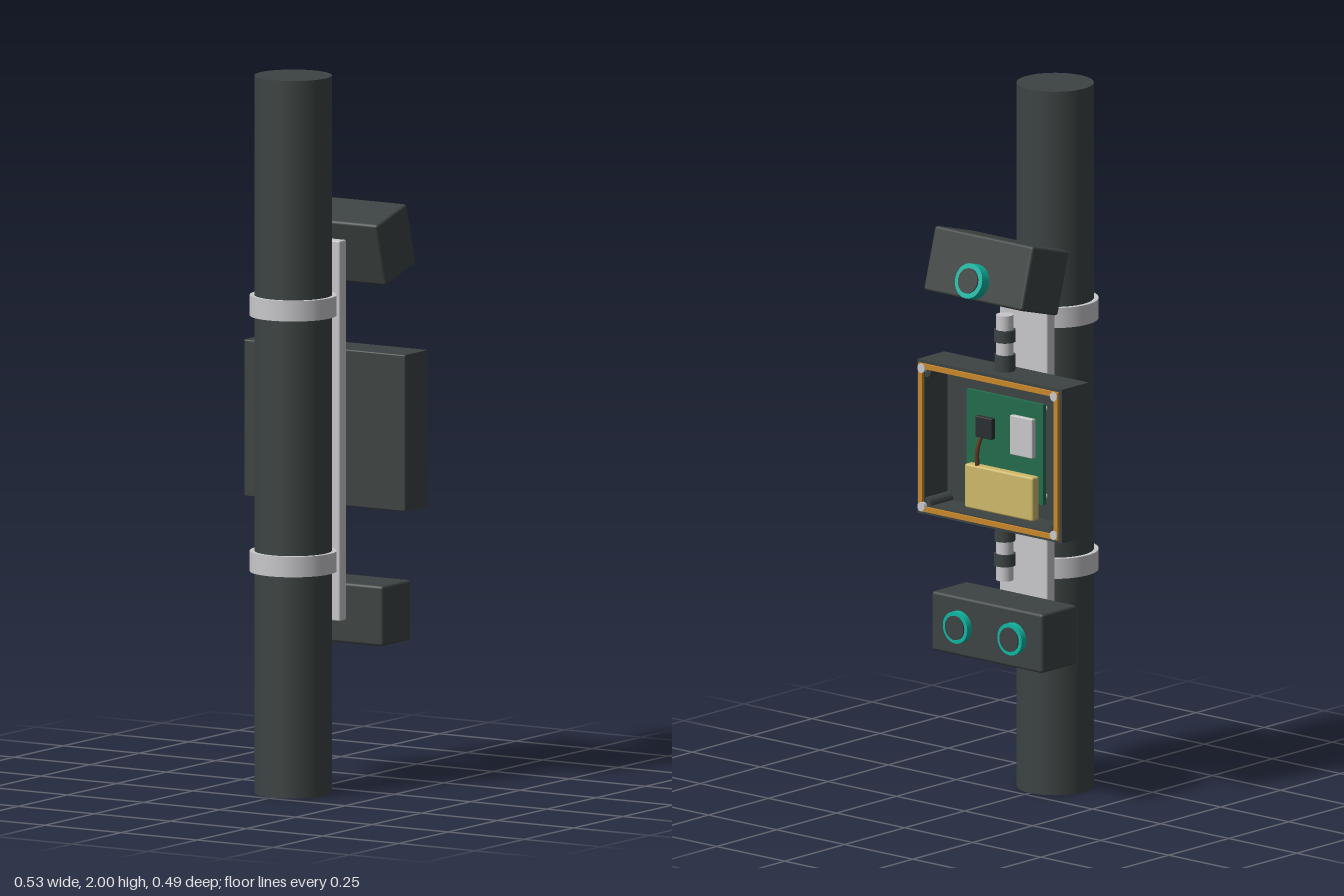
import * as THREE from 'three';
import { RoundedBoxGeometry } from 'three/addons/geometries/RoundedBoxGeometry.js';

export function createModel() {
  const mat = (name, color) => {
    const m = new THREE.MeshStandardMaterial({ color });
    m.name = name;
    return m;
  };
  const dark = mat('charcoal', 0x3c4342);
  const metal = mat('light metal', 0xc8c7ca);
  const teal = mat('teal', 0x10b5a2);
  const amber = mat('amber seal', 0xc8862a);
  const green = mat('board green', 0x236b4b);
  const tan = mat('battery tan', 0xcdb96a);
  const black = mat('chip black', 0x2b2e30);
  const brown = mat('cable brown', 0x5a3a20);

  const model = new THREE.Group();
  const add = (parent, name, geo, material, x = 0, y = 0, z = 0) => {
    const mesh = new THREE.Mesh(geo, material);
    mesh.name = name;
    mesh.position.set(x, y, z);
    parent.add(mesh);
    return mesh;
  };
  const group = (name, x, y, z) => {
    const g = new THREE.Group();
    g.name = name;
    g.position.set(x, y, z);
    model.add(g);
    return g;
  };
  const box = (w, h, d, r = 0.006) => new RoundedBoxGeometry(w, h, d, 2, r);
  const cyl = (r, h, n = 32, r2 = r) => new THREE.CylinderGeometry(r, r2, h, n);
  const cylZ = (r, d, n = 32) => cyl(r, d, n).rotateX(Math.PI / 2);

  // Rectangular frame, extruded along z from 0 to depth
  const frame = (w, h, t, depth) => {
    const rect = (p, a, b) => {
      p.moveTo(-a, -b);
      p.lineTo(a, -b);
      p.lineTo(a, b);
      p.lineTo(-a, b);
      p.closePath();
      return p;
    };
    const s = rect(new THREE.Shape(), w / 2, h / 2);
    s.holes.push(rect(new THREE.Path(), w / 2 - t, h / 2 - t));
    return new THREE.ExtrudeGeometry(s, { depth, bevelEnabled: false });
  };

  // Pole, clamp bands and mounting plate
  add(model, 'pole', cyl(0.107, 2, 64), dark, 0, 1, 0.128);
  for (const y of [0.647, 1.36]) add(model, 'clampBand', cyl(0.12, 0.057, 64), metal, 0, y, 0.128);
  add(model, 'mountingPlate', box(0.176, 1.06, 0.034, 0.004), metal, 0, 1.002, 0.0115);

  // Round lens facing -z: teal ring with dark glass
  const lens = (parent, x, y, z, r, inner, depth) => {
    add(parent, 'lensRing', cylZ(r, depth), teal, x, y, z - depth / 2);
    add(parent, 'lensGlass', cylZ(inner, 0.006), dark, x, y, z - depth - 0.001);
  };

  // Upper sensor, tilted upward
  const upper = group('upperSensor', 0, 1.511, -0.117);
  upper.rotation.x = 0.272;
  add(upper, 'upperSensorBody', box(0.362, 0.181, 0.16, 0.008), dark);
  lens(upper, 0, -0.038, -0.08, 0.049, 0.035, 0.03);

  // Lower sensor with a pair of lenses
  const lower = group('lowerSensor', 0, 0.49, -0.084);
  add(lower, 'lowerSensorBody', box(0.406, 0.168, 0.146, 0.008), dark);
  for (const s of [-1, 1]) lens(lower, s * 0.1, 0, -0.073, 0.045, 0.034, 0.019);

  // Open enclosure: back panel, walls and seal
  const enclosure = group('enclosure', 0, 1.003, 0);
  add(enclosure, 'enclosurePanel', box(0.53, 0.437, 0.02, 0.004), dark, 0, 0, -0.04);
  add(enclosure, 'enclosureWalls', frame(0.53, 0.437, 0.026, 0.111), dark, 0, 0, -0.145);
  add(enclosure, 'seal', frame(0.512, 0.42, 0.014, 0.01), amber, 0, 0, -0.153);

  // Corner posts and screws
  for (const sx of [-1, 1]) for (const sy of [-1, 1]) {
    add(enclosure, 'cornerPost', cylZ(0.018, 0.1, 20), dark, sx * 0.235, sy * 0.189, -0.094);
    add(enclosure, 'cornerScrew', cylZ(0.013, 0.014, 20), metal, sx * 0.243, sy * 0.197, -0.149);
  }

  // Circuit board, chips, battery and cable
  add(enclosure, 'circuitBoard', new THREE.BoxGeometry(0.28, 0.285, 0.012), green, 0, 0, -0.076);
  for (const sx of [-1, 1]) for (const sy of [-1, 1]) {
    add(enclosure, 'boardStandoff', cylZ(0.009, 0.026, 12), metal, sx * 0.12, sy * 0.125, -0.059);
  }
  add(enclosure, 'processorChip', box(0.06, 0.06, 0.016, 0.003), black, 0.066, 0.046, -0.089);
  add(enclosure, 'radioModule', box(0.082, 0.112, 0.016, 0.003), metal, -0.072, 0.043, -0.089);
  add(enclosure, 'battery', box(0.25, 0.125, 0.03, 0.006), tan, 0, -0.125, -0.094);
  const path = new THREE.CatmullRomCurve3([
    new THREE.Vector3(0.08, 0.02, -0.09),
    new THREE.Vector3(0.085, -0.02, -0.1),
    new THREE.Vector3(0.085, -0.07, -0.1),
  ]);
  add(enclosure, 'batteryCable', new THREE.TubeGeometry(path, 12, 0.006, 8), brown);

  // Stacked cable glands on the top and bottom of the enclosure
  const rings = [
    [0.029, 0.047, dark],
    [0.024, 0.036, metal],
    [0.03, 0.034, dark],
    [0.024, 0.042, metal],
  ];
  for (const s of [-1, 1]) {
    let y = 0.218;
    for (const [r, h, m] of rings) {
      add(enclosure, 'cableGland', cyl(r, h, 24), m, 0, s * (y + h / 2), -0.082);
      y += h;
    }
  }

  return model;
}
